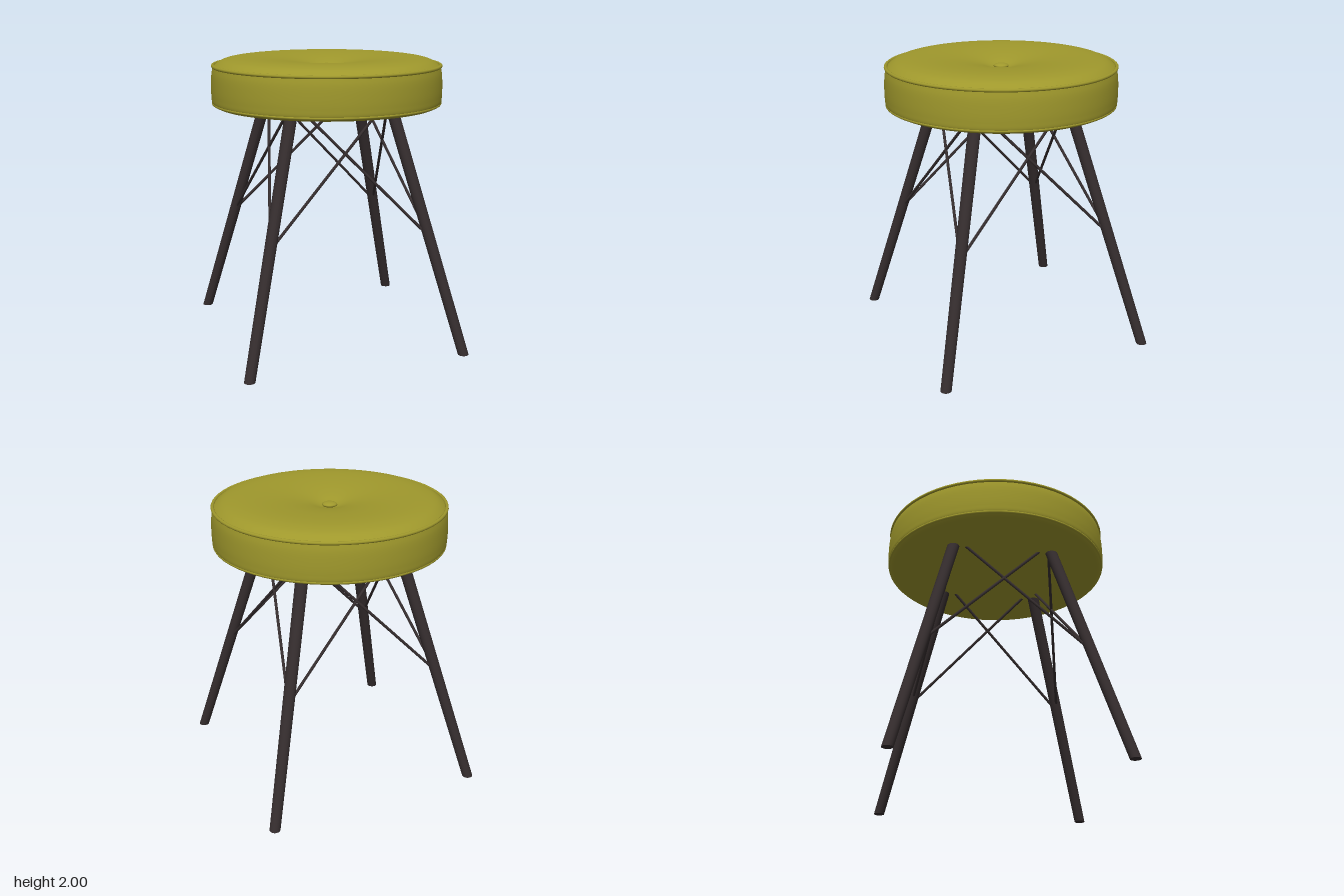
import * as THREE from 'three';

const fabric = new THREE.MeshStandardMaterial({ color: 0x9f982c });
fabric.name = 'olive fabric';
const metal = new THREE.MeshStandardMaterial({ color: 0x352d2e });
metal.name = 'dark metal';

function part(name, geometry, material) {
  const mesh = new THREE.Mesh(geometry, material);
  mesh.name = name;
  return mesh;
}

// Lathe with a smooth curve through [radius, height] points
function turned(points, divisions) {
  const curve = new THREE.CatmullRomCurve3(points.map(([r, y]) => new THREE.Vector3(r, y, 0)), false, 'centripetal');
  const profile = curve.getPoints(divisions).map(p => new THREE.Vector2(Math.max(p.x, 0), p.y));
  return new THREE.LatheGeometry(profile, 64);
}

// Splayed leg with level ends: a tapered cylinder sheared outwards
const FOOT = 0.753, SLOPE = 0.241, LEG_HEIGHT = 1.68;
function legGeometry(sx, sz) {
  const g = new THREE.CylinderGeometry(0.043, 0.037, LEG_HEIGHT, 20);
  g.translate(0, LEG_HEIGHT / 2, 0);
  const p = g.attributes.position;
  for (let i = 0; i < p.count; i++) {
    const out = FOOT - SLOPE * p.getY(i);
    p.setX(i, p.getX(i) + sx * out);
    p.setZ(i, p.getZ(i) + sz * out);
  }
  g.computeVertexNormals();
  return g;
}

// Straight round rod between two points
function rodGeometry(a, b, radius) {
  const dir = b.clone().sub(a);
  const g = new THREE.CylinderGeometry(radius, radius, dir.length(), 10);
  g.applyQuaternion(new THREE.Quaternion().setFromUnitVectors(new THREE.Vector3(0, 1, 0), dir.normalize()));
  const mid = a.clone().add(b).multiplyScalar(0.5);
  return g.translate(mid.x, mid.y, mid.z);
}

export function createModel() {
  const model = new THREE.Group();
  model.name = 'stool';

  // Padded seat: body, dimpled top, piping and button
  const seat = new THREE.Group();
  seat.name = 'seat';
  seat.add(part('seatBody', turned([
    [0, 1.656], [0.45, 1.656], [0.7, 1.659], [0.77, 1.668], [0.793, 1.69],
    [0.799, 1.74], [0.799, 1.82], [0.794, 1.89], [0.784, 1.94],
  ], 48), fabric));
  seat.add(part('seatCushion', turned([
    [0.784, 1.935], [0.765, 1.952], [0.72, 1.978], [0.65, 1.993], [0.56, 1.998],
    [0.42, 1.992], [0.28, 1.977], [0.15, 1.953], [0.06, 1.928], [0, 1.92],
  ], 48), fabric));
  const pipings = [['topPiping', 0.785, 1.942, 0.012], ['bottomPiping', 0.787, 1.687, 0.01]];
  for (const [name, radius, y, thickness] of pipings) {
    const ring = part(name, new THREE.TorusGeometry(radius, thickness, 10, 64), fabric);
    ring.rotation.x = Math.PI / 2;
    ring.position.y = y;
    seat.add(ring);
  }
  const button = part('button', new THREE.SphereGeometry(0.052, 24, 12), fabric);
  button.scale.y = 0.35;
  button.position.y = 1.935;
  seat.add(button);
  model.add(seat);

  // Four splayed legs
  for (const sx of [1, -1]) {
    for (const sz of [1, -1]) {
      model.add(part((sz > 0 ? 'front' : 'back') + (sx > 0 ? 'Left' : 'Right') + 'Leg', legGeometry(sx, sz), metal));
    }
  }

  // Crossed wire braces in the plane of each pair of legs
  ['front', 'left', 'back', 'right'].forEach((side, i) => {
    const brace = new THREE.Group();
    brace.name = side + 'Brace';
    for (const s of [1, -1]) {
      const low = new THREE.Vector3(s * 0.52, 0.85, FOOT - SLOPE * 0.85);
      const high = new THREE.Vector3(-s * 0.27, 1.67, FOOT - SLOPE * 1.67);
      brace.add(part('braceRod', rodGeometry(low, high, 0.01), metal));
    }
    brace.rotation.y = i * Math.PI / 2;
    model.add(brace);
  });

  return model;
}
